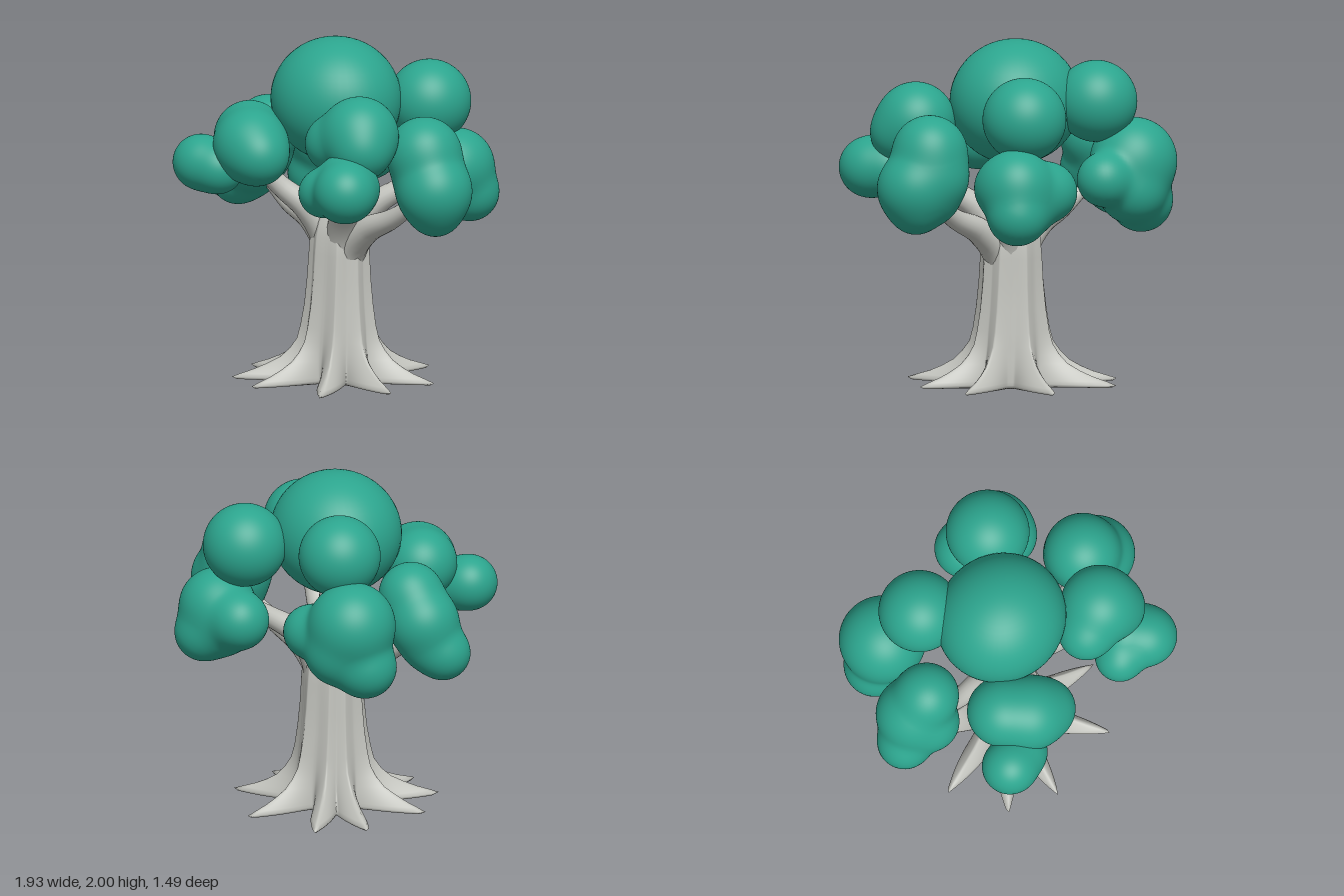
import * as THREE from 'three';
import { mergeVertices } from 'three/addons/utils/BufferGeometryUtils.js';

const bark = new THREE.MeshStandardMaterial({ color: 0xc3c4be });
bark.name = 'pale bark';
const leaf = new THREE.MeshStandardMaterial({ color: 0x2ca58e });
leaf.name = 'teal leaves';

// Smoothly blended union of balls [x, y, z, r]
function distance(p, balls, k = 0.025) {
  let sum = 0;
  for (const [x, y, z, r] of balls) sum += Math.exp(-(Math.hypot(p.x - x, p.y - y, p.z - z) - r) / k);
  return -k * Math.log(sum);
}

// Push a sphere's vertices out to the blended surface, marching inward from outside
function foliage(name, balls) {
  const centre = new THREE.Vector3();
  let weight = 0;
  for (const [x, y, z, r] of balls) {
    const w = r ** 3;
    centre.add(new THREE.Vector3(x, y, z).multiplyScalar(w));
    weight += w;
  }
  centre.divideScalar(weight);
  let geo = new THREE.IcosahedronGeometry(1, 17);
  geo.deleteAttribute('uv');
  geo.deleteAttribute('normal');
  geo = mergeVertices(geo, 1e-5);
  const pos = geo.attributes.position;
  const dir = new THREE.Vector3();
  const p = new THREE.Vector3();
  for (let i = 0; i < pos.count; i++) {
    dir.fromBufferAttribute(pos, i).normalize();
    let t = 0.9;
    for (let step = 0; step < 80; step++) {
      p.copy(centre).addScaledVector(dir, t);
      const d = distance(p, balls);
      if (Math.abs(d) < 0.0005 || t < 0.02) break;
      t -= d * 0.9;
    }
    pos.setXYZ(i, p.x, p.y, p.z);
  }
  geo.computeVertexNormals();
  const mesh = new THREE.Mesh(geo, leaf);
  mesh.name = name;
  return mesh;
}

// Roots: [angle in degrees from +x towards +z, length factor]
const roots = [[17, 1.02], [58, 1.14], [105, 1.06], [134, 1.15], [169, 1.08],
  [213, 1.13], [242, 1.16], [288, 1.05], [340, 1.03]];

function rootShape(a) {
  let s = 0;
  for (const [deg, len] of roots) {
    const d = a - THREE.MathUtils.degToRad(deg);
    const off = Math.abs(Math.atan2(Math.sin(d), Math.cos(d)));
    s = Math.max(s, len * Math.max(0, 1 - off / 0.38) ** 1.6);
  }
  return s;
}

// Trunk: closed rings [height, base radius, root reach]
function trunk() {
  const rows = [[0.004, 0.002, 0], [0.004, 0.18, 0.2], [0.012, 0.2, 0.355], [0.026, 0.205, 0.375],
    [0.045, 0.205, 0.325], [0.07, 0.205, 0.255], [0.1, 0.205, 0.19], [0.14, 0.203, 0.125], [0.19, 0.2, 0.08],
    [0.25, 0.195, 0.047], [0.33, 0.19, 0.032], [0.45, 0.178, 0.025], [0.6, 0.168, 0.02],
    [0.75, 0.163, 0.016], [0.86, 0.158, 0.012], [0.94, 0.142, 0.008], [1.02, 0.11, 0.004], [1.1, 0.07, 0], [1.12, 0.002, 0]];
  const n = 216, pos = [], idx = [];
  rows.forEach(([y, base, reach], j) => {
    for (let i = 0; i < n; i++) {
      const a = (i / n) * Math.PI * 2;
      const r = base + reach * rootShape(a + 0.12 * y);
      pos.push(r * Math.cos(a), y, r * Math.sin(a));
      if (j === 0) continue;
      const p = (j - 1) * n, q = j * n, k = (i + 1) % n;
      idx.push(p + i, q + i, p + k, q + i, q + k, p + k);
    }
  });
  const geo = new THREE.BufferGeometry();
  geo.setAttribute('position', new THREE.Float32BufferAttribute(pos, 3));
  geo.setIndex(idx);
  geo.computeVertexNormals();
  const mesh = new THREE.Mesh(geo, bark);
  mesh.name = 'trunkAndRoots';
  return mesh;
}

// Branch: a tube tapered from r0 to r1, with a rounded tip
function branch(name, points, r0, r1) {
  const curve = new THREE.CatmullRomCurve3(points.map((p) => new THREE.Vector3(...p)));
  const n = 24, sides = 18;
  const geo = new THREE.TubeGeometry(curve, n, 1, sides);
  const pos = geo.attributes.position;
  const v = new THREE.Vector3();
  for (let i = 0; i < pos.count; i++) {
    const t = Math.floor(i / (sides + 1)) / n;
    const c = curve.getPointAt(t);
    v.fromBufferAttribute(pos, i).sub(c).multiplyScalar(r1 + (r0 - r1) * (1 - t) ** 1.25).add(c);
    pos.setXYZ(i, v.x, v.y, v.z);
  }
  const group = new THREE.Group();
  group.name = name;
  const limb = new THREE.Mesh(geo, bark);
  limb.name = 'branchLimb';
  const tip = new THREE.Mesh(new THREE.SphereGeometry(r1, 16, 10), bark);
  tip.name = 'branchTip';
  tip.position.set(...points[points.length - 1]);
  group.add(limb, tip);
  return group;
}

export function createModel() {
  const tree = new THREE.Group();
  tree.name = 'tree';
  tree.add(trunk());

  // Limbs, each rising inside the trunk before it leans out
  tree.add(
    branch('centreBranch', [[0, 0.7, 0], [-0.01, 1.05, 0], [-0.02, 1.45, 0]], 0.15, 0.07),
    branch('leftBranch', [[0.03, 0.5, 0], [0.08, 0.76, 0.01], [0.23, 0.91, 0.02], [0.42, 1.0, 0.02], [0.64, 1.15, 0]], 0.13, 0.04),
    branch('rightBranch', [[-0.03, 0.5, 0], [-0.08, 0.76, 0], [-0.23, 0.91, 0], [-0.4, 0.98, 0], [-0.6, 1.11, -0.01]], 0.13, 0.033),
    branch('frontLeftBranch', [[0.02, 0.55, 0.02], [0.06, 0.84, 0.05], [0.15, 1.02, 0.12], [0.27, 1.14, 0.21], [0.42, 1.4, 0.31]], 0.125, 0.045),
    branch('frontRightBranch', [[-0.02, 0.55, 0.02], [-0.06, 0.84, 0.05], [-0.14, 1.01, 0.13], [-0.26, 1.14, 0.23], [-0.36, 1.32, 0.34]], 0.125, 0.045),
    branch('backLeftBranch', [[0.02, 0.55, -0.02], [0.06, 0.84, -0.05], [0.14, 1.01, -0.11], [0.27, 1.13, -0.23], [0.42, 1.28, -0.42]], 0.125, 0.04),
  );

  // Crown
  const crown = new THREE.Mesh(new THREE.SphereGeometry(1, 48, 32), leaf);
  crown.name = 'topFoliage';
  crown.scale.set(0.385, 0.36, 0.365);
  crown.position.set(-0.03, 1.64, 0);
  tree.add(crown);

  // Leaf clumps around the crown
  const clumps = {
    frontRightFoliage: [[-0.38, 1.43, 0.35, 0.2], [-0.27, 1.4, 0.46, 0.215], [-0.17, 1.36, 0.5, 0.165]],
    frontRightLowFoliage: [[-0.55, 1.285, 0.58, 0.16], [-0.43, 1.26, 0.56, 0.145]],
    frontLeftFoliage: [[0.45, 1.54, 0.32, 0.225], [0.29, 1.48, 0.37, 0.16], [0.52, 1.47, 0.38, 0.165]],
    frontLeftLowFoliage: [[0.575, 1.26, 0.575, 0.175], [0.38, 1.23, 0.55, 0.14], [0.48, 1.32, 0.48, 0.14], [0.53, 1.26, 0.46, 0.15]],
    leftFoliage: [[0.65, 1.41, -0.01, 0.215], [0.75, 1.21, 0.01, 0.215], [0.75, 1.09, 0, 0.14], [0.65, 1.27, -0.05, 0.195], [0.64, 1.14, -0.04, 0.13]],
    backLeftFoliage: [[0.3, 1.61, -0.43, 0.24]],
    backLeftLowFoliage: [[0.44, 1.24, -0.51, 0.215], [0.24, 1.2, -0.56, 0.17], [0.49, 1.08, -0.57, 0.165], [0.46, 1.23, -0.42, 0.155], [0.38, 1.13, -0.53, 0.17]],
    backRightFoliage: [[-0.33, 1.65, -0.36, 0.235]],
    backRightLowFoliage: [[-0.51, 1.3, -0.48, 0.25], [-0.59, 1.06, -0.46, 0.18], [-0.24, 1.22, -0.52, 0.155], [-0.45, 1.14, -0.53, 0.19]],
    rightFoliage: [[-0.6, 1.39, -0.04, 0.185], [-0.7, 1.25, -0.06, 0.205], [-0.81, 1.07, -0.01, 0.155], [-0.65, 1.19, 0.04, 0.165], [-0.73, 1.12, -0.05, 0.15]],
  };
  for (const [name, balls] of Object.entries(clumps)) tree.add(foliage(name, balls));
  return tree;
}
